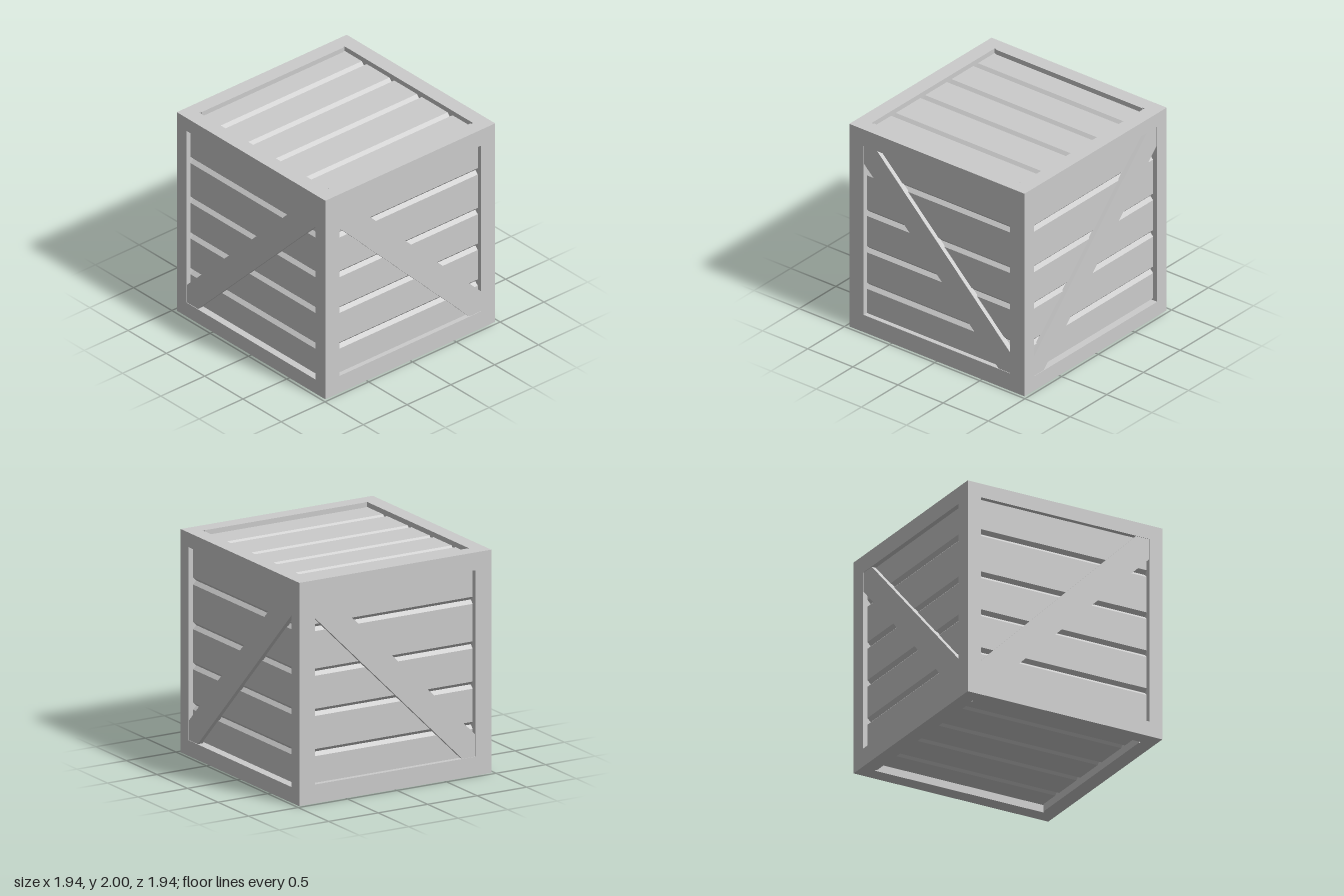
import * as THREE from 'three';

const material = new THREE.MeshStandardMaterial({ color: 0xcccccc, flatShading: true });
const X = new THREE.Vector3(1, 0, 0), Y = new THREE.Vector3(0, 1, 0), Z = new THREE.Vector3(0, 0, 1);
const neg = (v) => v.clone().negate();

function addMesh(parent, name, geometry) {
  const mesh = new THREE.Mesh(geometry, material);
  mesh.name = name;
  parent.add(mesh);
  return mesh;
}

// Box given by its limits on each axis
function addBeam(parent, name, [x0, x1], [y0, y1], [z0, z1]) {
  const mesh = addMesh(parent, name, new THREE.BoxGeometry(x1 - x0, y1 - y0, z1 - z0));
  mesh.position.set((x0 + x1) / 2, (y0 + y1) / 2, (z0 + z1) / 2);
}

function extrude(points, depth) {
  const shape = new THREE.Shape(points.map(([x, y]) => new THREE.Vector2(x, y)));
  return new THREE.ExtrudeGeometry(shape, { depth, bevelEnabled: false });
}

// Five chamfered planks side by side: across on local x, outer face at y = 0, length on z
function makePanel(name) {
  const seams = [-0.86, -0.58, -0.22, 0.14, 0.54, 0.86];
  const panel = new THREE.Group();
  panel.name = name;
  const thick = 0.06, bevel = 0.032, half = 0.86;
  for (let i = 0; i < 5; i++) {
    const a = seams[i], b = seams[i + 1];
    const ca = i > 0 ? bevel : 0, cb = i < 4 ? bevel : 0;
    const profile = [[a, -thick], [b, -thick]];
    if (cb) profile.push([b, -cb]);
    profile.push([b - cb, 0], [a + ca, 0]);
    if (ca) profile.push([a, -ca]);
    addMesh(panel, 'plank', extrude(profile, 2 * half)).geometry.translate(0, 0, -half);
  }
  return panel;
}

export function createModel() {
  const crate = new THREE.Group();
  crate.name = 'crate';

  // Frame: corner posts and the beams between them
  const frame = new THREE.Group();
  frame.name = 'frame';
  crate.add(frame);
  const span = (s, a, b) => (s > 0 ? [a, b] : [-b, -a]);
  for (const s of [-1, 1]) {
    for (const t of [-1, 1]) {
      addBeam(frame, 'cornerPost', span(s, 0.84, 0.97), [0, 2], span(t, 0.81, 0.97));
    }
    addBeam(frame, 'bottomCrossBeam', [-0.84, 0.84], [0, 0.14], span(s, 0.83, 0.97));
    addBeam(frame, 'topCrossBeam', [-0.84, 0.84], [1.87, 2], span(s, 0.83, 0.97));
    addBeam(frame, 'bottomSideBeam', span(s, 0.83, 0.97), [0, 0.17], [-0.81, 0.81]);
    addBeam(frame, 'topSideBeam', span(s, 0.83, 0.97), [1.84, 2], [-0.81, 0.81]);
  }

  // Plank panels: local axes (across, outward, along) and position
  const out = 0.925, mid = 1.02;
  const panels = [
    ['topPanel', X, Y, Z, [0, 1.955, 0]],
    ['bottomPanel', Z, neg(Y), X, [0, 0.07, 0]],
    ['frontPanel', Y, Z, X, [0, mid, out]],
    ['backPanel', Y, neg(Z), neg(X), [0, mid, -out]],
    ['leftPanel', Y, X, neg(Z), [out, mid, 0]],
    ['rightPanel', Y, neg(X), Z, [-out, mid, 0]],
  ];
  for (const [name, across, outward, along, position] of panels) {
    const panel = makePanel(name);
    panel.quaternion.setFromRotationMatrix(new THREE.Matrix4().makeBasis(across, outward, along));
    panel.position.set(...position);
    crate.add(panel);
  }

  // Diagonal braces, cut to fit the corners of the frame openings
  const rising = [[-0.84, 0.14], [-0.7, 0.14], [0.84, 1.68], [0.84, 1.87], [0.71, 1.87], [-0.84, 0.32]];
  const falling = [[-0.81, 1.84], [-0.81, 1.66], [0.68, 0.17], [0.81, 0.17], [0.81, 0.37], [-0.67, 1.84]];
  ['frontBrace', 'leftBrace', 'backBrace', 'rightBrace'].forEach((name, i) => {
    const geometry = extrude(i % 2 ? falling : rising, 0.05);
    geometry.translate(0, 0, 0.915);
    addMesh(crate, name, geometry).rotation.y = i * Math.PI / 2;
  });

  return crate;
}
